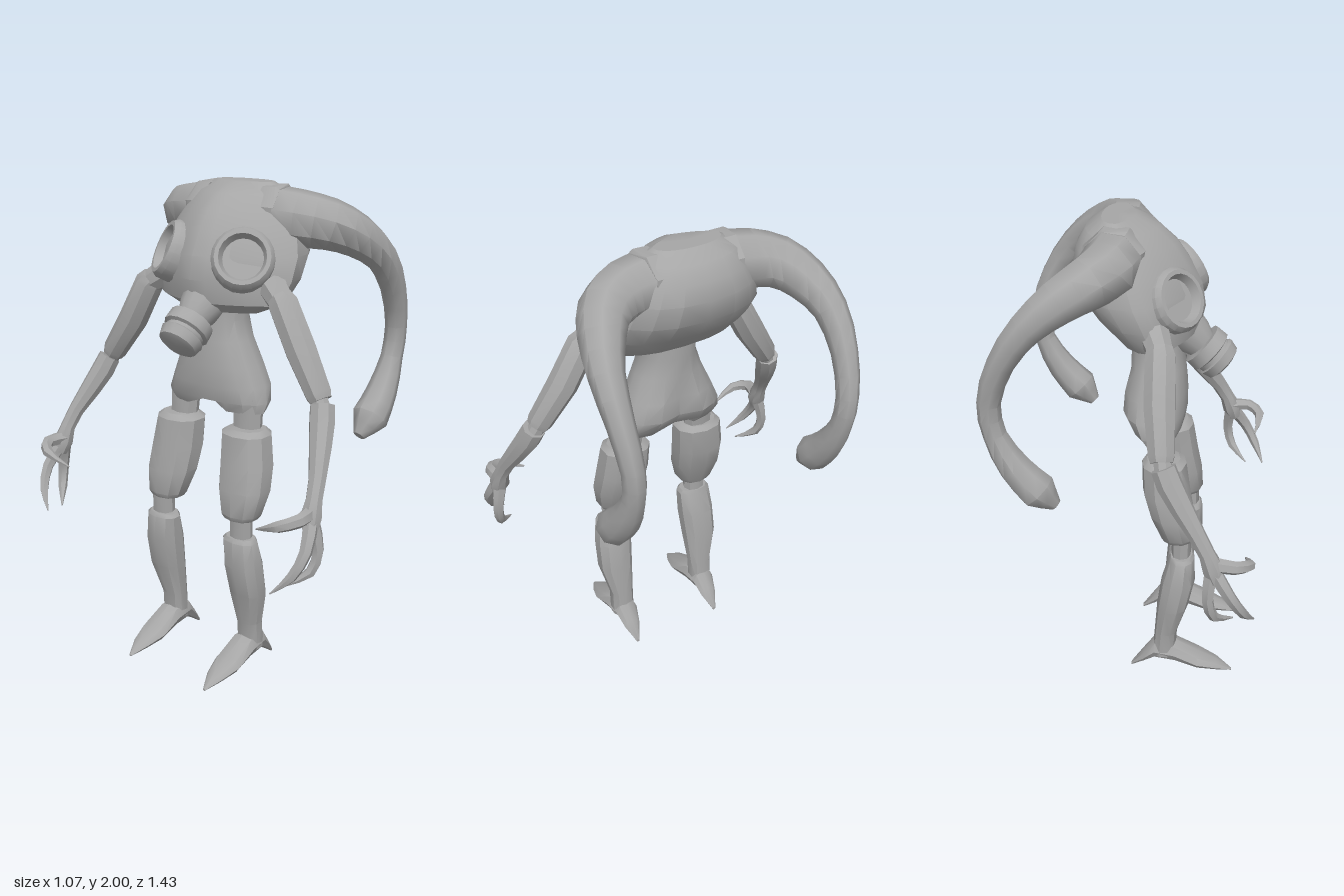
import * as THREE from 'three';
import { toCreasedNormals } from 'three/addons/utils/BufferGeometryUtils.js';

const V = (x, y, z) => new THREE.Vector3(x, y, z);

// Skin a list of equal-length rings, cap both ends, and make the faces point outwards
function loft(rings, rule, crease = 0.65) {
  const n = rings[0].length, m = rings.length, pts = rings.flat(), idx = [];
  const mid = r => r.reduce((s, p) => s.add(p), V(0, 0, 0)).divideScalar(n);
  pts.push(mid(rings[0]), mid(rings[m - 1]));
  if (rule) pts.forEach(rule);
  for (let i = 0; i < n; i++) {
    const j = (i + 1) % n;
    for (let k = 0; k < m - 1; k++) {
      const a = k * n + i, b = k * n + j;
      idx.push(a, b, b + n, a, b + n, a + n);
    }
    idx.push(n * m, j, i, n * m + 1, (m - 1) * n + i, (m - 1) * n + j);
  }
  let volume = 0;
  for (let i = 0; i < idx.length; i += 3) {
    volume += pts[idx[i]].dot(V(0, 0, 0).crossVectors(pts[idx[i + 1]], pts[idx[i + 2]]));
  }
  if (volume < 0) idx.reverse();
  const g = new THREE.BufferGeometry().setFromPoints(pts);
  g.setIndex(idx);
  return toCreasedNormals(g, crease);
}

// Horizontal ring; front (-x) and back halves may have different roundness
function ringY(y, x0, x1, z0, z1, n = 8, front = 2, back = 2, pivot = 0.5) {
  const cx = x0 + (x1 - x0) * pivot, cz = (z0 + z1) / 2, hz = (z1 - z0) / 2;
  return Array.from({ length: n }, (_, i) => {
    const t = (i / n) * Math.PI * 2, c = Math.cos(t), s = Math.sin(t);
    const e = 2 / (c < 0 ? front : back);
    const x = Math.sign(c) * Math.abs(c) ** e * (c < 0 ? cx - x0 : x1 - cx);
    return V(cx + x, y, cz + Math.sign(s) * Math.abs(s) ** e * hz);
  });
}

// Tube through stations [x, y, z, radius]; steps > 1 rounds the path
function tube(stations, n = 8, steps = 1, crease = 0.65) {
  const curve = new THREE.CatmullRomCurve3(stations.map(s => V(s[0], s[1], s[2])));
  const last = stations.length - 1, total = last * steps, pts = [], radii = [];
  for (let i = 0; i <= total; i++) {
    const u = i / steps, k = Math.min(Math.floor(u), last - 1);
    pts.push(steps === 1 ? curve.points[i] : curve.getPoint(i / total));
    radii.push(THREE.MathUtils.lerp(stations[k][3], stations[k + 1][3], u - k));
  }
  let normal = V(1, 0.05, 0.02);
  const rings = pts.map((p, i) => {
    const t = pts[Math.min(i + 1, total)].clone().sub(pts[Math.max(i - 1, 0)]).normalize();
    normal = normal.clone().addScaledVector(t, -normal.dot(t)).normalize();
    const side = t.clone().cross(normal);
    return Array.from({ length: n }, (_, j) => {
      const a = ((j + 0.5) / n) * Math.PI * 2;
      return p.clone().addScaledVector(normal, Math.cos(a) * radii[i]).addScaledVector(side, Math.sin(a) * radii[i]);
    });
  });
  return loft(rings, null, crease);
}

export function createModel() {
  const model = new THREE.Group();
  model.name = 'creature';
  const grey = new THREE.MeshStandardMaterial({ color: 0xa6a6a6 });
  grey.name = 'grey';
  const add = (name, geometry) => {
    const mesh = new THREE.Mesh(geometry, grey);
    mesh.name = name;
    model.add(mesh);
    return mesh;
  };

  // Mask-like upper body: [y, front x, back x, half width]
  const body = [
    [1.52, -0.2, 0.0, 0.2], [1.56, -0.25, 0.06, 0.3], [1.65, -0.27, 0.15, 0.335],
    [1.74, -0.255, 0.22, 0.332], [1.83, -0.21, 0.24, 0.3], [1.9, -0.16, 0.225, 0.26],
    [1.96, -0.09, 0.19, 0.21], [2.0, 0.0, 0.13, 0.14],
  ];
  add('maskBody', loft(body.map(([y, f, b, w]) => ringY(y, f, b, -w, w, 20, 1.4, 2.3, 0.48)), null, 0.5));

  // Breathing filter under the face
  add('filter', tube([
    [-0.16, 1.575, 0, 0.1], [-0.225, 1.52, 0, 0.08], [-0.255, 1.49, 0, 0.065], [-0.258, 1.488, 0, 0.092],
    [-0.295, 1.455, 0, 0.095], [-0.3, 1.45, 0, 0.08], [-0.312, 1.44, 0, 0.08], [-0.316, 1.437, 0, 0.09],
    [-0.345, 1.411, 0, 0.08], [-0.352, 1.405, 0, 0.06],
  ], 14));

  // Waist, hips and buttocks, with an arched crotch
  const hips = [
    [1.58, -0.19, 0.02, 0.125], [1.48, -0.19, 0.02, 0.115], [1.4, -0.2, 0.02, 0.145], [1.3, -0.21, 0.045, 0.19],
    [1.22, -0.21, 0.05, 0.225], [1.16, -0.2, 0.01, 0.245], [1.12, -0.18, -0.03, 0.235],
  ];
  add('hips', loft(hips.map(([y, f, b, w]) => ringY(y, f, b, -w, w, 16, 2.3, 2.3)), p => {
    if (p.x > -0.05 && p.y < 1.32) p.x -= 0.03 * Math.max(0, 1 - Math.abs(p.z) / 0.05);
    if (p.y < 1.14) p.y += 0.06 * Math.max(0, 1 - Math.abs(p.z) / 0.09);
  }));

  for (const s of [1, -1]) {
    const side = s > 0 ? 'left' : 'right';
    // Parts are given for +z and mirrored onto -z
    const limb = (name, stations, n, steps, crease) =>
      add(side + name, tube(stations.map(([x, y, z, r]) => [x, y, z * s, r]), n, steps, crease));
    const column = (name, rows, n = 8) =>
      add(side + name, loft(rows.map(([y, x0, x1, z0, z1]) => ringY(y, x0, x1, z0 * s, z1 * s, n, 2.3, 2.3))));

    // Goggle eye: raised rim around a sunken lens
    const profile = [[0, 0.002], [0.078, 0.002], [0.092, 0.035], [0.108, 0.035], [0.122, 0.015], [0.125, -0.06]];
    const eye = new THREE.LatheGeometry(profile.reverse().map(([r, h]) => new THREE.Vector2(r, h)), 20);
    const goggle = add(side + 'Goggle', toCreasedNormals(eye, 0.6));
    goggle.position.set(-0.172, 1.735, 0.183 * s);
    goggle.quaternion.setFromUnitVectors(V(0, 1, 0), V(-0.73, 0.42, 0.53 * s).normalize());

    // Back tendril: collar, long curve and swollen end
    limb('TendrilCollar', [[0.06, 1.876, 0.13, 0.122], [0.062, 1.876, 0.19, 0.124], [0.064, 1.876, 0.2, 0.114]], 8);
    limb('Tendril', [
      [0.06, 1.875, 0.15, 0.118], [0.075, 1.868, 0.27, 0.112], [0.13, 1.85, 0.37, 0.1], [0.225, 1.8, 0.435, 0.085],
      [0.33, 1.715, 0.475, 0.066], [0.43, 1.575, 0.48, 0.052], [0.488, 1.41, 0.468, 0.045],
      [0.475, 1.275, 0.462, 0.046], [0.405, 1.14, 0.464, 0.064], [0.32, 1.045, 0.464, 0.077], [0.255, 0.98, 0.455, 0.025],
    ], 8, 2, 0.8);

    // Arm
    limb('Shoulder', [[-0.1, 1.63, 0.27, 0.06], [-0.13, 1.585, 0.335, 0.05], [-0.135, 1.56, 0.36, 0.045]], 8);
    limb('UpperArm', [
      [-0.128, 1.6, 0.325, 0.05], [-0.132, 1.58, 0.345, 0.06], [-0.14, 1.42, 0.435, 0.062], [-0.16, 1.27, 0.535, 0.052],
      [-0.162, 1.25, 0.548, 0.044],
    ], 8);
    limb('Elbow', [[-0.16, 1.28, 0.525, 0.035], [-0.175, 1.2, 0.57, 0.035]], 8);
    limb('Forearm', [
      [-0.17, 1.235, 0.56, 0.048], [-0.195, 1.18, 0.578, 0.05], [-0.245, 1.1, 0.607, 0.044], [-0.305, 1.01, 0.64, 0.034],
      [-0.345, 0.94, 0.655, 0.032], [-0.37, 0.88, 0.66, 0.042], [-0.385, 0.83, 0.668, 0.028],
    ], 8);
    // Three clawed fingers
    const fingers = {
      Thumb: [[-0.36, 0.895, 0.65, 0.03], [-0.45, 0.895, 0.665, 0.026], [-0.503, 0.875, 0.61, 0.022], [-0.485, 0.83, 0.5, 0.003]],
      FrontFinger: [[-0.375, 0.87, 0.665, 0.03], [-0.44, 0.775, 0.69, 0.024], [-0.49, 0.69, 0.665, 0.019], [-0.53, 0.62, 0.6, 0.003]],
      BackFinger: [[-0.365, 0.87, 0.66, 0.03], [-0.355, 0.755, 0.685, 0.023], [-0.38, 0.67, 0.67, 0.02], [-0.45, 0.618, 0.6, 0.003]],
    };
    for (const [name, path] of Object.entries(fingers)) limb(name, path, 6, 2);

    // Leg: pegs at the joints between shaped segments
    column('HipPeg', [[1.18, -0.16, -0.06, 0.1, 0.23], [1.0, -0.17, -0.08, 0.11, 0.23]]);
    column('Thigh', [
      [1.06, -0.2, -0.065, 0.1, 0.255], [1.04, -0.225, -0.045, 0.07, 0.28], [0.92, -0.245, -0.05, 0.075, 0.298],
      [0.82, -0.265, -0.08, 0.085, 0.305], [0.72, -0.272, -0.125, 0.115, 0.285], [0.7, -0.262, -0.135, 0.13, 0.27],
    ], 10);
    column('KneePeg', [[0.74, -0.255, -0.175, 0.165, 0.26], [0.58, -0.255, -0.175, 0.165, 0.26]]);
    column('Shin', [
      [0.625, -0.262, -0.17, 0.145, 0.275], [0.61, -0.272, -0.165, 0.133, 0.288], [0.5, -0.276, -0.135, 0.135, 0.3],
      [0.37, -0.25, -0.118, 0.145, 0.302], [0.22, -0.205, -0.108, 0.158, 0.265], [0.1, -0.2, -0.1, 0.16, 0.265],
    ], 10);

    // Pointed foot: [x, bottom y, top y, half width]
    const foot = [
      [-0.45, 0.018, 0.026, 0.006], [-0.38, 0.03, 0.075, 0.042], [-0.3, 0.04, 0.112, 0.064], [-0.2, 0.065, 0.165, 0.06],
      [-0.11, 0.07, 0.17, 0.052], [-0.06, 0.04, 0.095, 0.038], [-0.005, 0.0, 0.018, 0.008],
    ];
    add(side + 'Foot', loft(foot.map(([x, lo, hi, w]) => Array.from({ length: 8 }, (_, i) => {
      const a = (i / 8) * Math.PI * 2;
      return V(x, (lo + hi) / 2 + Math.sin(a) * (hi - lo) / 2, s * 0.21 + Math.cos(a) * w);
    }))));
  }
  return model;
}
